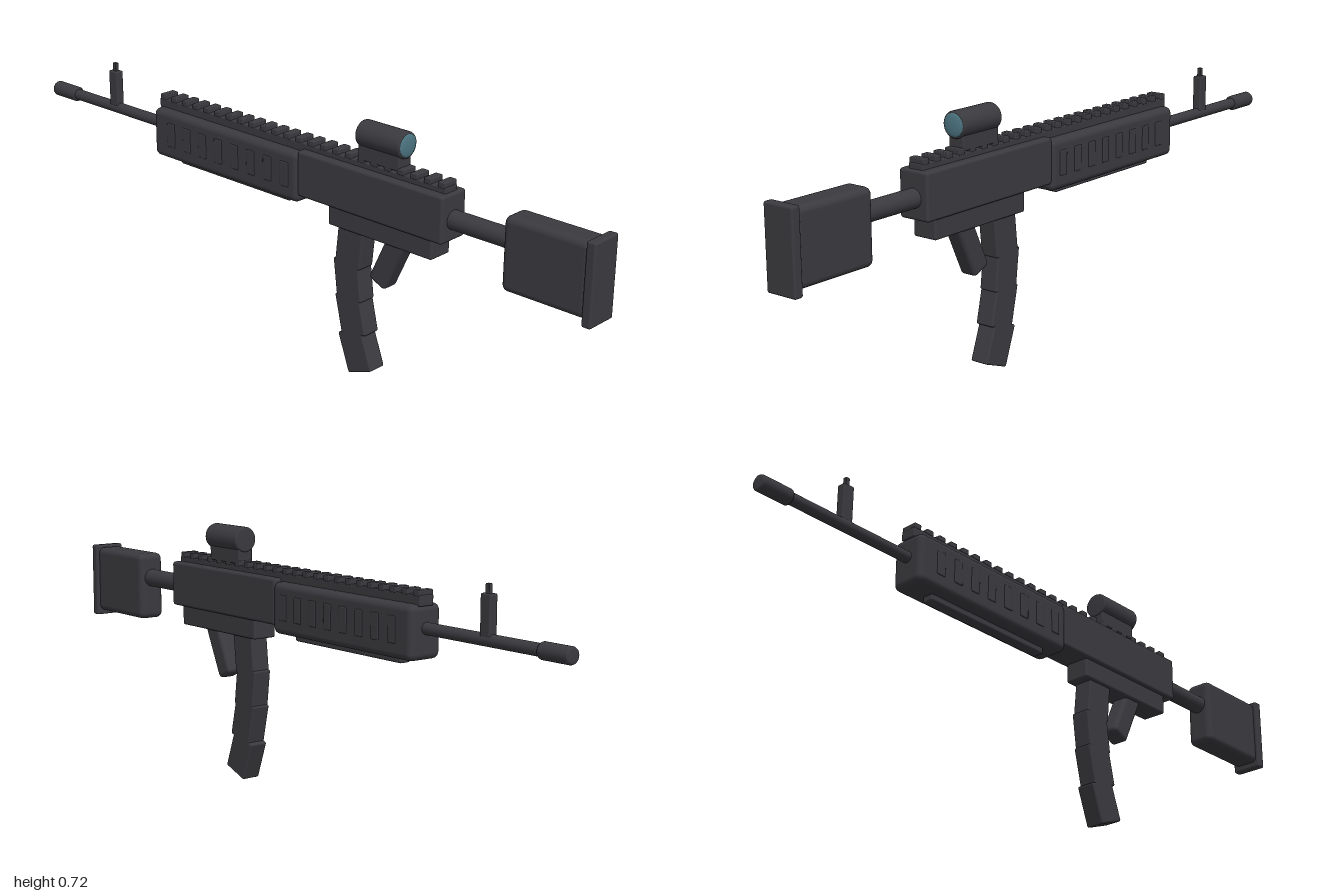
import * as THREE from 'three';
import { RoundedBoxGeometry } from 'three/addons/geometries/RoundedBoxGeometry.js';

export function createModel() {
  const group = new THREE.Group();
  const metal = new THREE.MeshStandardMaterial({ color: 0x3b3a3f });
  metal.name = 'dark gunmetal';
  const glass = new THREE.MeshStandardMaterial({ color: 0x4d7683 });
  glass.name = 'teal glass';

  const add = (name, geometry, x, y, z, tilt = 0, material = metal) => {
    const mesh = new THREE.Mesh(geometry, material);
    mesh.name = name;
    mesh.position.set(x, y, z);
    mesh.rotation.x = THREE.MathUtils.degToRad(tilt);
    group.add(mesh);
    return mesh;
  };
  // Rounded box given by its width and its y and z ranges
  const block = (name, width, y0, y1, z0, z1, radius) =>
    add(name, new RoundedBoxGeometry(width, y1 - y0, z1 - z0, 3, radius), 0, (y0 + y1) / 2, (z0 + z1) / 2);
  // Solid of revolution along z, from [radius, z] points in rising z
  const turned = (name, y, points) => {
    const profile = points.map(([r, z]) => [new THREE.Vector2(r, z)]).flat();
    const parts = new THREE.LatheGeometry(profile, 32);
    parts.rotateX(Math.PI / 2);
    return add(name, parts, 0, y, 0);
  };
  const rod = (name, y, r, z0, z1, bevel) => turned(name, y, [
    [0, z0], [r - bevel, z0], [r - bevel * 0.3, z0 + bevel * 0.3], [r, z0 + bevel],
    [r, z1 - bevel], [r - bevel * 0.3, z1 - bevel * 0.3], [r - bevel, z1], [0, z1],
  ]);

  // Stock
  block('buttPlate', 0.094, 0.393, 0.612, 0.973, 1, 0.006);
  block('stock', 0.08, 0.407, 0.605, 0.73, 0.98, 0.018);
  rod('bufferTube', 0.532, 0.026, 0.54, 0.74, 0.002);

  // Receiver
  block('receiver', 0.094, 0.475, 0.603, 0.055, 0.55, 0.008);
  block('lowerReceiver', 0.074, 0.42, 0.485, 0.16, 0.512, 0.006);

  // Handguard with raised vent plates on both sides
  block('handguard', 0.102, 0.453, 0.595, -0.507, 0.06, 0.018);
  for (let i = 0; i < 8; i++) {
    for (const side of [-1, 1]) {
      add('vent', new RoundedBoxGeometry(0.008, 0.07, 0.03, 2, 0.003),
        side * 0.0495, 0.528, 0.012 - i * 0.0635);
    }
  }
  block('lowerRail', 0.034, 0.436, 0.462, -0.43, 0, 0.005);

  // Top rail and its teeth
  block('railBase', 0.046, 0.59, 0.618, -0.507, 0.54, 0.003);
  for (let i = 0; i < 24; i++) {
    add('railTooth', new RoundedBoxGeometry(0.048, 0.016, 0.023, 2, 0.003), 0, 0.623, 0.526 - i * 0.0443);
  }

  // Optic
  block('sightMount', 0.048, 0.622, 0.67, 0.25, 0.388, 0.004);
  rod('sightTube', 0.689, 0.036, 0.248, 0.397, 0.006);
  const lens = new THREE.SphereGeometry(0.031, 32, 10, 0, Math.PI * 2, 0, Math.PI / 2);
  lens.rotateX(Math.PI / 2);
  lens.scale(1, 1, 0.2);
  add('lens', lens, 0, 0.689, 0.396, 0, glass);

  // Barrel, muzzle and front sight
  rod('barrel', 0.534, 0.016, -0.92, -0.49, 0.002);
  rod('muzzle', 0.534, 0.022, -1, -0.902, 0.006);
  block('frontSight', 0.026, 0.535, 0.647, -0.742, -0.708, 0.004);
  block('sightPost', 0.012, 0.64, 0.671, -0.731, -0.718, 0.002);

  // Grip
  add('grip', new RoundedBoxGeometry(0.054, 0.2, 0.06, 3, 0.012), 0, 0.384, 0.362, 25);

  // Curved magazine: each segment is [y, z, tilt]
  const segments = [[0.375, 0.226, 6], [0.274, 0.221, -7], [0.177, 0.233, -13], [0.073, 0.251, -20]];
  for (const [y, z, tilt] of segments) {
    add('magazineSegment', new RoundedBoxGeometry(0.056, 0.116, 0.086, 2, 0.005), 0, y, z, tilt);
  }
  return group;
}
